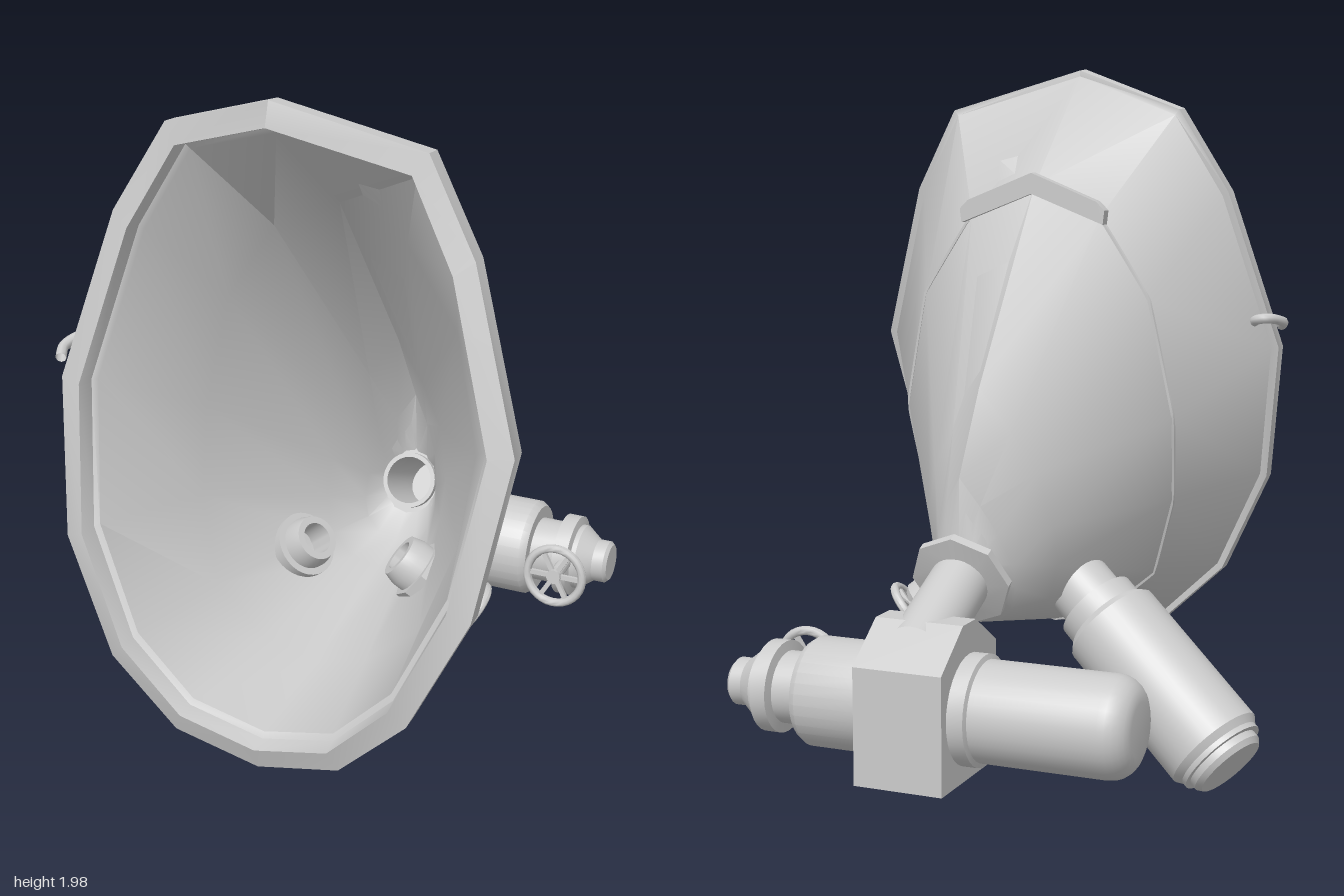
import * as THREE from 'three';
import { toCreasedNormals } from 'three/addons/utils/BufferGeometryUtils.js';

const CX = 0.055; // mirror plane of the face piece
const material = new THREE.MeshStandardMaterial({ color: 0xcccccc, side: THREE.DoubleSide });
const V = (x, y, z) => new THREE.Vector3(x, y, z);

function add(parent, name, geometry, crease = 0.6) {
  const mesh = new THREE.Mesh(toCreasedNormals(geometry, crease), material);
  mesh.name = name;
  parent.add(mesh);
  return mesh;
}

// Turned part: profile of [radius, distance along the axis]
function turned(parent, name, profile, origin, dir, sides = 32) {
  const geo = new THREE.LatheGeometry(profile.map(p => new THREE.Vector2(...p)), sides);
  const mesh = add(parent, name, geo, sides < 12 ? 0.3 : 0.6);
  mesh.quaternion.setFromUnitVectors(V(0, 1, 0), dir);
  mesh.position.copy(origin);
  return mesh;
}

// Skin over closed rings of points
function loft(rings) {
  const n = rings[0].length;
  const index = [];
  for (let i = 0; i < rings.length - 1; i++) {
    for (let j = 0; j < n; j++) {
      const k = (j + 1) % n;
      const a = i * n + j, b = i * n + k, c = a + n, d = b + n;
      index.push(a, c, b, b, c, d);
    }
  }
  const geo = new THREE.BufferGeometry().setFromPoints(rings.flat());
  geo.setIndex(index);
  geo.computeVertexNormals();
  return geo;
}

// Half ring (top to bottom) mirrored into a full one
function ring(half) {
  const pts = half.map(p => V(CX + p[0], p[1], p[2]));
  for (let i = half.length - 2; i > 0; i--) pts.push(V(CX - half[i][0], half[i][1], half[i][2]));
  return pts;
}

const shrink = (pts, sx, sy, y0, dz) =>
  pts.map(p => V(CX + (p.x - CX) * sx, y0 + (p.y - y0) * sy, p.z + dz));

// Handwheel with hub and spokes
function handwheel(parent, name, origin, dir, radius) {
  const wheel = new THREE.Group();
  wheel.name = name;
  add(wheel, 'wheelRim', new THREE.TorusGeometry(radius, 0.013, 10, 32), 1);
  const hub = add(wheel, 'wheelHub', new THREE.CylinderGeometry(0.022, 0.022, 0.03, 16));
  hub.rotation.x = Math.PI / 2;
  for (let i = 0; i < 6; i++) {
    const a = (i * Math.PI) / 3;
    const spoke = add(wheel, 'wheelSpoke', new THREE.BoxGeometry(radius, 0.014, 0.012));
    spoke.position.set((Math.cos(a) * radius) / 2, (Math.sin(a) * radius) / 2, 0);
    spoke.rotation.z = a;
  }
  wheel.quaternion.setFromUnitVectors(V(0, 0, 1), dir);
  wheel.position.copy(origin);
  parent.add(wheel);
}

function buildFacePiece(group, hoseDir, hoseStart) {
  const rimFront = ring([[0, 2, 0.61], [0.36, 1.88, 0.48], [0.5, 1.64, 0.52], [0.64, 1.18, 0.59],
    [0.58, 0.77, 0.7], [0.43, 0.46, 0.745], [0.24, 0.28, 0.745], [0, 0.22, 0.735]]);
  const seam = ring([[0, 1.66, 0.2], [0.2, 1.57, 0.2], [0.35, 1.34, 0.2], [0.42, 1, 0.22],
    [0.4, 0.75, 0.29], [0.32, 0.51, 0.36], [0.16, 0.375, 0.37], [0, 0.335, 0.37]]);
  const nose = ring([[0, 0.89, -0.335], [0.05, 0.81, -0.31], [0.09, 0.73, -0.28], [0.115, 0.64, -0.24],
    [0.117, 0.57, -0.22], [0.1, 0.51, -0.21], [0.06, 0.47, -0.2], [0, 0.46, -0.2]]);
  const middle = nose.map((p, i) => {
    const m = p.clone().lerp(seam[i], 0.25);
    m.y += i === 0 ? 0.035 : 0;
    return m;
  });
  const hole = nose.map((_, i) => {
    const a = (i / 14) * Math.PI * 2;
    return V(CX + 0.078 * Math.sin(a), hoseStart.y + 0.071 * Math.cos(a), hoseStart.z - 0.033 * Math.cos(a));
  });
  const inside = pts => shrink(pts, 0.965, 0.97, 0.9, 0.012);
  const rimInner = shrink(rimFront, 0.9, 0.93, 1.1, 0.02);
  add(group, 'facePieceShell', loft([
    hole, nose, middle, seam,
    shrink(rimFront, 0.965, 0.975, 1.1, -0.05),
    shrink(rimFront, 1, 0.995, 1.1, -0.05),
    rimFront, rimInner,
    shrink(rimInner, 0.985, 0.99, 1.1, -0.05),
    shrink(rimInner, 0.96, 0.97, 1.1, -0.06),
    inside(seam), inside(middle), inside(nose), hole,
  ]), 0.7);

  // Fine raised line where the two shell halves meet
  const seamCurve = new THREE.CatmullRomCurve3(seam, true, 'catmullrom', 0.05);
  add(group, 'shellSeam', new THREE.TubeGeometry(seamCurve, 84, 0.006, 5, true), 1);

  // Chevron clamp on the forehead
  const chevron = new THREE.Shape([[-0.22, 1.55], [0, 1.635], [0.22, 1.55], [0.225, 1.59], [0.2, 1.615],
    [0, 1.695], [-0.2, 1.615], [-0.225, 1.59]].map(p => new THREE.Vector2(...p)));
  const clamp = add(group, 'foreheadClamp', new THREE.ExtrudeGeometry(chevron, { depth: 0.035, bevelEnabled: false }));
  clamp.position.set(CX, 0, 0.17);

  // Small hook on the right rim
  const hook = new THREE.CatmullRomCurve3([V(-0.575, 1.24, 0.605), V(-0.592, 1.255, 0.56),
    V(-0.565, 1.27, 0.495), V(-0.53, 1.265, 0.49), V(-0.51, 1.25, 0.52)]);
  add(group, 'rimHook', new THREE.TubeGeometry(hook, 16, 0.015, 8), 1);
}

function buildSideFittings(group) {
  for (const side of [-1, 1]) {
    const dir = V(side * 0.74, -0.62, -0.25).normalize();
    const start = V(CX + side * 0.155, 0.555, 0.085);
    turned(group, 'portCollar', [[0.045, -0.035], [0.065, -0.035], [0.075, 0.0], [0.075, 0.06], [0.045, 0.06], [0.045, -0.035]],
      start, dir);
    if (side < 0) {
      turned(group, 'filterNeck', [[0.075, 0.02], [0.095, 0.02], [0.095, 0.13], [0.118, 0.13], [0.118, 0.2], [0, 0.2]], start, dir);
      turned(group, 'filterCanister', [[0, 0.185], [0.125, 0.185], [0.143, 0.205], [0.143, 0.665], [0.128, 0.685],
        [0.128, 0.7], [0.112, 0.7], [0.112, 0.72], [0.1, 0.735], [0, 0.735]], start, dir);
    } else {
      turned(group, 'valveCollar', [[0.05, 0.03], [0.095, 0.03], [0.095, 0.075], [0.075, 0.1], [0, 0.1]], start, dir, 8);
      turned(group, 'valveStem', [[0, 0.05], [0.062, 0.05], [0.062, 0.19], [0.05, 0.205], [0, 0.205]], start, dir);
      handwheel(group, 'sideHandwheel', start.clone().addScaledVector(dir, 0.225), dir, 0.08);
    }
  }
}

function buildRearUnit(group, hoseDir, hoseStart) {
  // Octagonal flange and pipe from the mask to the block
  turned(group, 'rearFlange', [[0.078, -0.01], [0.125, -0.01], [0.143, 0.005], [0.143, 0.03], [0.078, 0.04]],
    hoseStart, hoseDir, 8);
  turned(group, 'rearPipe', [[0.07, 0.33], [0.07, -0.03], [0.083, -0.03], [0.083, 0.33]], hoseStart, hoseDir);

  // Block with a sloped top, extruded across x
  const shape = new THREE.Shape([[0.4, 0.145], [0.745, 0.145], [0.745, 0.46], [0.61, 0.56], [0.53, 0.56], [0.4, 0.475]]
    .map(p => new THREE.Vector2(...p)));
  const block = add(group, 'rearBlock', new THREE.ExtrudeGeometry(shape, { depth: 0.25, bevelEnabled: false }), 0.2);
  block.rotation.y = Math.PI / 2;
  block.position.x = -0.08;

  const axis = V(1, 0, 0);
  const origin = V(0, 0.33, -0.57);
  const tank = [[0, -0.548]];
  for (let i = 0; i <= 6; i++) {
    const a = (i / 6) * Math.PI / 2;
    tank.push([0.07 + 0.065 * Math.sin(a), -0.478 - 0.07 * Math.cos(a)]);
  }
  tank.push([0.135, -0.13], [0.148, -0.125], [0.148, -0.07]);
  turned(group, 'rearTank', tank, origin, axis);
  turned(group, 'rearValveBody', [[0.148, 0.16], [0.148, 0.36], [0.135, 0.38], [0.098, 0.38], [0.098, 0.455],
    [0.125, 0.46], [0.125, 0.505], [0.1, 0.51], [0.1, 0.525], [0.065, 0.57], [0.065, 0.605], [0.055, 0.615], [0, 0.615]],
    origin, axis);
  turned(group, 'rearValveStem', [[0, 0], [0.02, 0], [0.02, 0.1], [0, 0.1]], V(0.495, 0.35, -0.48), V(0, 0, 1), 16);
  handwheel(group, 'rearHandwheel', V(0.495, 0.35, -0.38), V(0, 0.1, 1).normalize(), 0.087);
}

export function createModel() {
  const group = new THREE.Group();
  group.name = 'respiratorMask';
  const hoseDir = V(0, -0.42, -0.91).normalize();
  const hoseStart = V(CX, 0.615, -0.305);
  buildFacePiece(group, hoseDir, hoseStart);
  buildSideFittings(group);
  buildRearUnit(group, hoseDir, hoseStart);
  return group;
}
